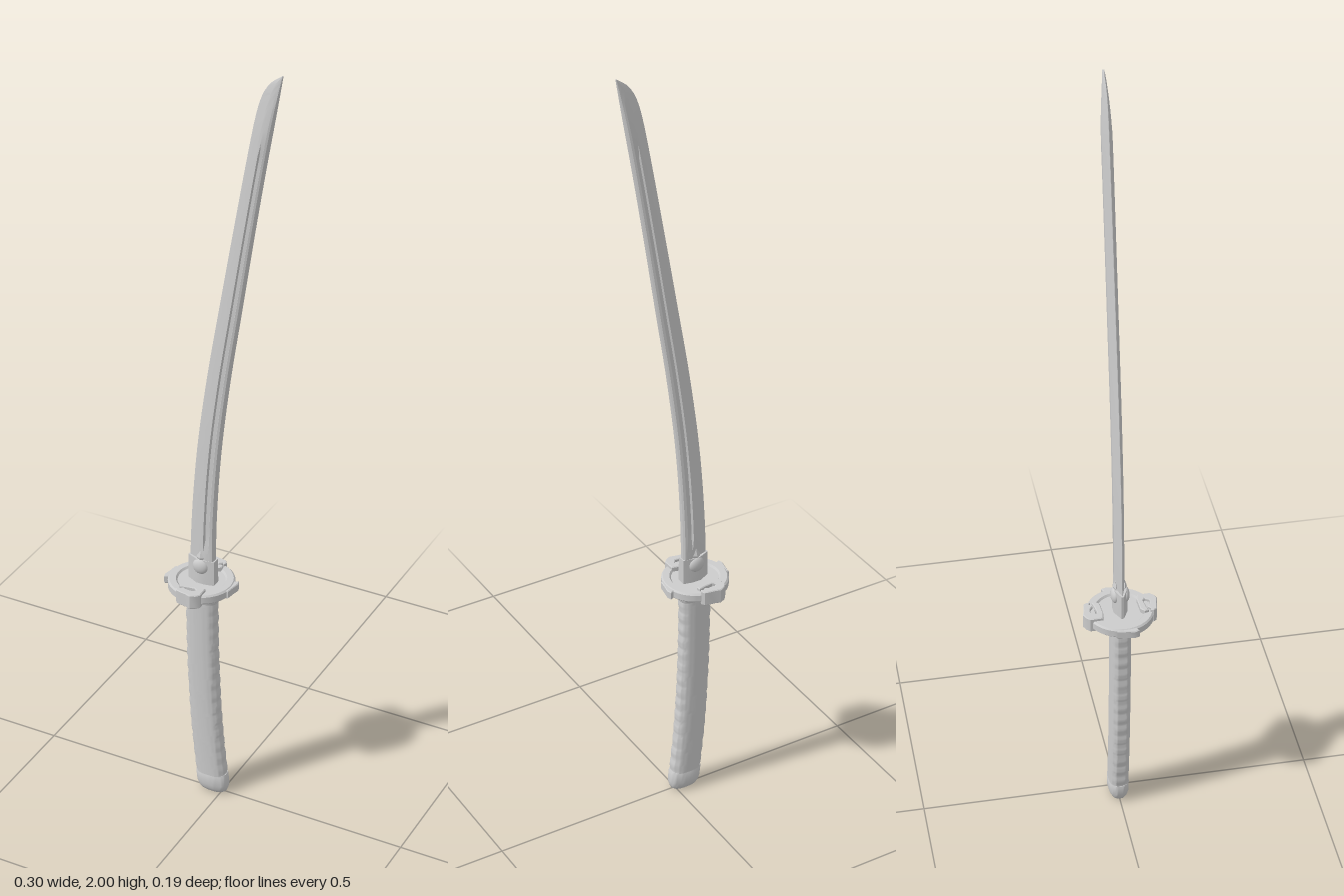
import * as THREE from 'three';
import { toCreasedNormals } from 'three/addons/utils/BufferGeometryUtils.js';

const V = (x, y, z) => new THREE.Vector3(x, y, z);
const material = new THREE.MeshStandardMaterial({ color: 0xcccccc });

function mesh(name, geometry, crease = 0.6) {
  const m = new THREE.Mesh(crease ? toCreasedNormals(geometry, crease) : geometry, material);
  m.name = name;
  return m;
}

// Skin a list of rings (counter-clockwise from above, bottom to top) and cap both ends.
function loft(rings) {
  const pos = [];
  const tri = (...p) => p.forEach((v) => pos.push(v.x, v.y, v.z));
  const n = rings[0].length;
  for (let r = 0; r < rings.length - 1; r++) {
    for (let i = 0; i < n; i++) {
      const j = (i + 1) % n, a = rings[r], b = rings[r + 1];
      tri(a[i], a[j], b[j]);
      tri(a[i], b[j], b[i]);
    }
  }
  for (const [ring, top] of [[rings[0], false], [rings[rings.length - 1], true]]) {
    const c = ring.reduce((s, p) => s.add(p), V(0, 0, 0)).divideScalar(n);
    for (let i = 0; i < n; i++) {
      const p = ring[i], q = ring[(i + 1) % n];
      top ? tri(c, p, q) : tri(c, q, p);
    }
  }
  const g = new THREE.BufferGeometry();
  g.setAttribute('position', new THREE.Float32BufferAttribute(pos, 3));
  return g;
}

// Smooth interpolation through [y, x] pairs.
function track(pairs) {
  return (y) => {
    let i = 0;
    while (i < pairs.length - 2 && y > pairs[i + 1][0]) i++;
    const at = (k) => pairs[Math.min(Math.max(k, 0), pairs.length - 1)];
    const [p0, p1, p2, p3] = [at(i - 1), at(i), at(i + 1), at(i + 2)];
    const h = p2[0] - p1[0], t = (y - p1[0]) / h;
    const m1 = (p2[1] - p0[1]) / (p2[0] - p0[0]) * h;
    const m2 = (p3[1] - p1[1]) / (p3[0] - p1[0]) * h;
    const t2 = t * t, t3 = t2 * t;
    return (2 * t3 - 3 * t2 + 1) * p1[1] + (t3 - 2 * t2 + t) * m1 + (3 * t2 - 2 * t3) * p2[1] + (t3 - t2) * m2;
  };
}

// Curved blade: cutting edge on -x, grooved back on +x.
function blade() {
  const edge = track([[0.62, -0.09], [0.8, -0.084], [1, -0.068], [1.2, -0.041], [1.4, -0.007], [1.6, 0.028],
    [1.8, 0.064], [1.9, 0.084], [1.95, 0.1], [1.98, 0.12], [2, 0.147]]);
  const spine = track([[0.62, -0.021], [0.8, -0.019], [1, -0.006], [1.2, 0.018], [1.4, 0.049], [1.6, 0.08],
    [1.8, 0.113], [2, 0.149]]);
  const levels = [];
  for (let i = 0; i <= 40; i++) levels.push(0.62 + i * 0.032);
  levels.push(1.92, 1.94, 1.955, 1.97, 1.98, 1.99, 2);
  return loft(levels.map((y) => {
    const a = edge(y), b = spine(y);
    const thick = 0.0125 * (y > 1.85 ? 1 - 0.8 * ((y - 1.85) / 0.15) ** 1.5 : 1);
    const groove = y > 0.72 && y < 1.82 ? 0.6 : 1;
    const half = [[0, 0.04], [0.5, 0.9], [0.6, 1], [0.65, groove], [0.8, groove], [0.85, 1], [0.95, 0.85], [1, 0.45]];
    const side = (s) => half.map(([u, w]) => V(a + (b - a) * u, y, s * w * thick));
    return [...side(1), ...side(-1).reverse()];
  }));
}

// Oval grip sections that follow the bend of the handle.
const gripX = track([[0, -0.024], [0.2, -0.044], [0.4, -0.054], [0.62, -0.057]]);
function oval(y, rx, rz, relief = () => 0, n = 40) {
  return Array.from({ length: n }, (_, i) => {
    const t = (i / n) * Math.PI * 2, c = Math.cos(t), s = Math.sin(t);
    const k = 1 + relief(t, y);
    return V(gripX(y) + Math.sign(c) * Math.abs(c) ** 0.8 * rx * k, y, -Math.sign(s) * Math.abs(s) ** 0.8 * rz * k);
  });
}

function grip() {
  // crossing wrap bands leave shallow diamond hollows
  const wrap = (t, y) => {
    const p = y * 84;
    return -0.08 * Math.max(0, Math.sin(p + t) * Math.sin(p - t) - 0.25);
  };
  const rings = [];
  for (let i = 0; i <= 84; i++) rings.push(oval(0.05 + (i / 84) * 0.53, 0.042, 0.0255, wrap));
  return loft(rings);
}

const ovals = (rows) => loft(rows.map(([y, rx, rz]) => oval(y, rx, rz)));

// Flat outline in x/z (z pointing away), raised from y0 to y1.
function plate(points, y0, y1) {
  const bevel = 0.002;
  const shape = new THREE.Shape(points.map(([x, y]) => new THREE.Vector2(x, y)));
  const g = new THREE.ExtrudeGeometry(shape, {
    depth: y1 - y0 - 2 * bevel, bevelThickness: bevel, bevelSize: bevel, bevelOffset: -bevel, bevelSegments: 1,
  });
  return g.rotateX(-Math.PI / 2).translate(0, y0 + bevel, 0);
}

function guard() {
  const group = new THREE.Group();
  group.name = 'guard';
  group.position.x = -0.058;
  const profile = [[0, 0.612], [0.059, 0.612], [0.063, 0.608], [0.079, 0.608], [0.083, 0.612],
    [0.083, 0.629], [0.079, 0.633], [0.063, 0.633], [0.059, 0.628], [0, 0.628]];
  group.add(mesh('guardDisc', new THREE.LatheGeometry(profile.map(([x, y]) => new THREE.Vector2(x, y)), 64)));

  // notched scroll and small side flange, repeated by a half turn
  const scroll = [[-0.037, 0.049], [-0.038, 0.080], [-0.03, 0.089], [-0.017, 0.095], [-0.002, 0.091], [0.012, 0.089],
    [0.024, 0.086], [0.029, 0.078], [0.026, 0.070], [0.021, 0.073], [0.012, 0.066], [0.002, 0.074], [-0.012, 0.075],
    [-0.019, 0.064], [-0.012, 0.059], [0.008, 0.062], [0.026, 0.066], [0.028, 0.056], [0.018, 0.047], [-0.02, 0.045]];
  const flange = [[0.074, 0.026], [0.087, 0.032], [0.091, 0.020], [0.087, 0.000], [0.084, -0.022], [0.074, -0.022]];
  for (const turn of [0, Math.PI]) {
    const half = new THREE.Group();
    half.name = 'guardOrnament';
    half.rotation.y = turn;
    half.add(mesh('scroll', plate(scroll, 0.602, 0.641)));
    half.add(mesh('flange', plate(flange, 0.609, 0.631)));
    group.add(half);
  }
  return group;
}

// Diamond collar at the foot of the blade with a round stud on each face.
function collar() {
  const group = new THREE.Group();
  group.name = 'bladeCollar';
  const ring = (y, k) => [[-0.092, 0.003], [-0.064, 0.016], [-0.042, 0.016], [-0.018, 0.011],
    [-0.018, -0.011], [-0.042, -0.016], [-0.064, -0.016], [-0.092, -0.003]].map(([x, z]) => V(x, y, z * k));
  group.add(mesh('collar', loft([ring(0.62, 1.1), ring(0.65, 1.05), ring(0.695, 0.95)])));
  for (const s of [1, -1]) {
    const stud = mesh('stud', new THREE.SphereGeometry(0.021, 24, 16), 0);
    stud.position.set(-0.054, 0.675, s * 0.012);
    stud.scale.z = 0.55;
    const leaf = mesh('studLeaf', new THREE.OctahedronGeometry(0.016), 0.2);
    leaf.position.set(-0.054, 0.7, s * 0.011);
    leaf.scale.set(0.8, 1.3, 0.4);
    group.add(stud, leaf);
  }
  return group;
}

export function createModel() {
  const model = new THREE.Group();
  model.name = 'curvedSword';
  model.add(mesh('blade', blade(), 0.3), collar(), guard(), mesh('grip', grip(), 0.8));
  model.add(mesh('gripCollar', ovals([[0.572, 0.042, 0.025], [0.576, 0.044, 0.027], [0.61, 0.044, 0.027]])));
  model.add(mesh('pommel', ovals([[0, 0.030, 0.015], [0.005, 0.036, 0.020], [0.014, 0.040, 0.024],
    [0.025, 0.0425, 0.0265], [0.052, 0.0425, 0.0265], [0.056, 0.041, 0.025]]), 0.8));
  return model;
}
